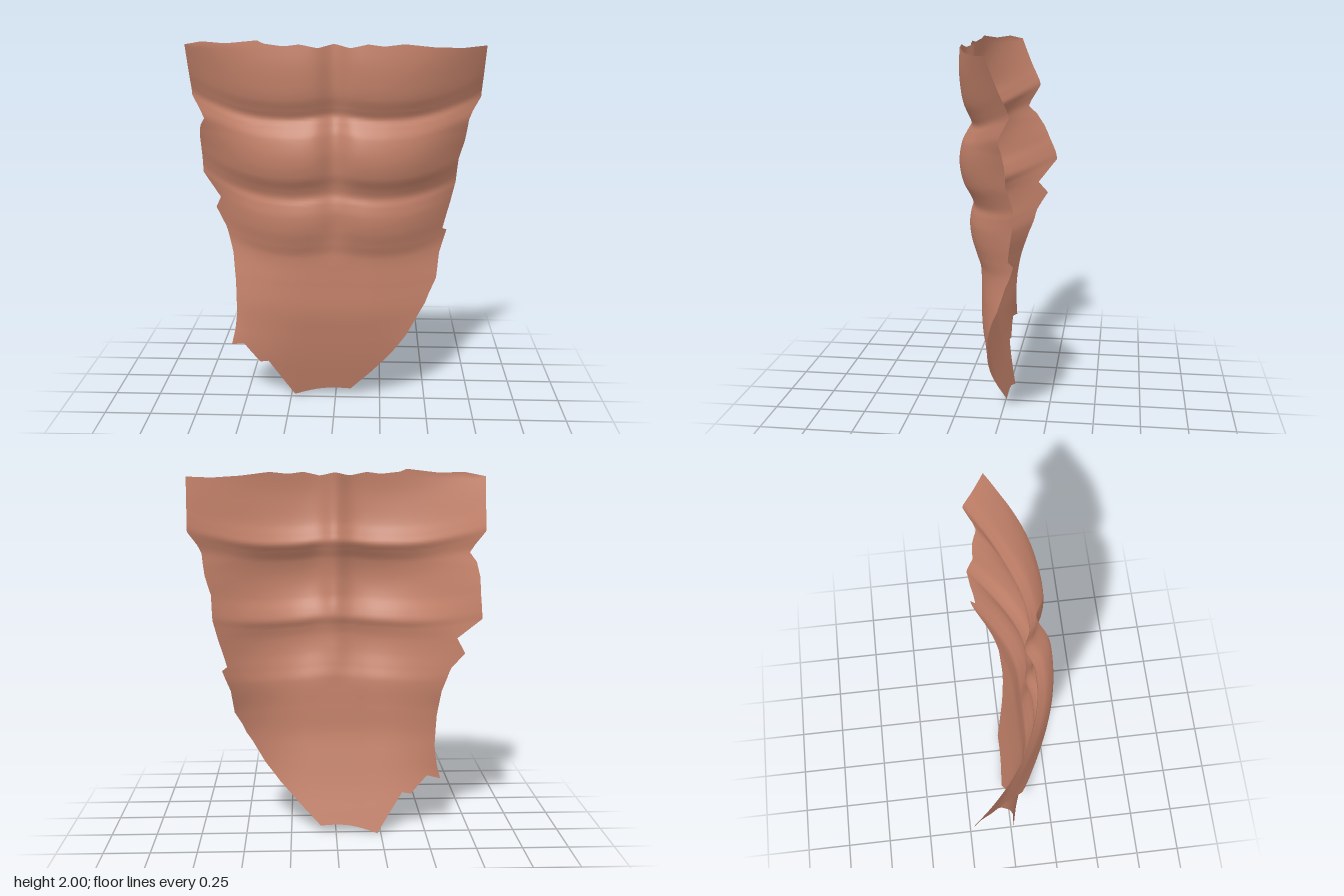
import * as THREE from 'three';

// Smooth curve through [position, value] pairs (ascending positions)
function curve(pts) {
  const slope = i => {
    const a = pts[Math.max(0, i - 1)], b = pts[Math.min(pts.length - 1, i + 1)];
    return (b[1] - a[1]) / (b[0] - a[0]);
  };
  return p => {
    p = THREE.MathUtils.clamp(p, pts[0][0], pts[pts.length - 1][0]);
    let i = 0;
    while (i < pts.length - 2 && p > pts[i + 1][0]) i++;
    const [x0, y0] = pts[i], [x1, y1] = pts[i + 1];
    const h = x1 - x0, t = (p - x0) / h, t2 = t * t, t3 = t2 * t;
    return (2 * t3 - 3 * t2 + 1) * y0 + (t3 - 2 * t2 + t) * h * slope(i)
      + (3 * t2 - 2 * t3) * y1 + (t3 - t2) * h * slope(i + 1);
  };
}

// Front profile of the muscle bulges, by height
const front = curve([[0, -0.028], [0.1, 0], [0.25, 0.04], [0.4, 0.072], [0.55, 0.098], [0.7, 0.103],
  [0.85, 0.108], [0.92, 0.13], [1.0, 0.155], [1.08, 0.165], [1.14, 0.157], [1.185, 0.145], [1.23, 0.16],
  [1.3, 0.197], [1.4, 0.215], [1.5, 0.2], [1.56, 0.168], [1.6, 0.148], [1.64, 0.163], [1.7, 0.189],
  [1.78, 0.203], [1.88, 0.208], [2, 0.198]]);

// The same profile with the bulges evened out, used towards the flanks
const even = curve([[0, -0.028], [0.1, 0], [0.25, 0.04], [0.4, 0.072], [0.55, 0.098], [0.7, 0.105],
  [0.85, 0.118], [1.0, 0.14], [1.2, 0.165], [1.4, 0.183], [1.6, 0.182], [1.8, 0.192], [2, 0.198]]);

// How strongly the sides wrap backwards, by height
const wrap = curve([[0, 0], [0.31, 0.1], [0.5, 0.2], [0.7, 0.28], [0.84, 0.36], [0.97, 0.415], [1.12, 0.425],
  [1.25, 0.39], [1.4, 0.365], [1.5, 0.325], [1.58, 0.285], [1.68, 0.27], [1.8, 0.24], [1.97, 0.185]]);

// Ragged top edge, by x
const topEdge = [[-0.78, 1.965], [-0.68, 1.985], [-0.55, 1.98], [-0.375, 2], [-0.36, 1.985], [-0.25, 1.972],
  [-0.17, 1.982], [-0.08, 1.963], [0, 1.982], [0.08, 1.963], [0.17, 1.983], [0.25, 1.972], [0.35, 1.983],
  [0.5, 1.965], [0.65, 1.957], [0.78, 1.965]];
function topHeight(x) {
  let i = 0;
  while (i < topEdge.length - 2 && x > topEdge[i + 1][0]) i++;
  const [a, b] = [topEdge[i], topEdge[i + 1]];
  return a[1] + (b[1] - a[1]) * (x - a[0]) / (b[0] - a[0]);
}

// Depth of the torso surface
function depth(x, y) {
  const ax = Math.abs(x), step = THREE.MathUtils.smoothstep;
  // creases dip below each muscle and rise towards the midline and flanks
  const lift = (0.5 * Math.max(0, ax - 0.3) ** 2 + 0.02 * (1 - step(ax, 0, 0.25))) * step(y, 0.6, 0.95);
  const flat = 0.6 * step(ax, 0.38, 0.75) + 0.25 * (1 - step(ax, 0, 0.16));
  const profile = THREE.MathUtils.lerp(front(y - lift), even(y), flat);
  const side = Math.max(0, (ax - 0.15) / 0.6) ** 1.95;
  // midline groove
  const groove = (0.02 * step(y, 0.8, 1.05) + 0.026 * step(y, 1.1, 1.4)) * Math.exp(-((x / 0.068) ** 2));
  return profile - wrap(y) * side - groove;
}

// Outline rows from top to bottom: left end x, y then right end x, y
const rows = [
  [-0.78, 1.965, 0.775, 1.965], [-0.77, 1.69, 0.765, 1.69], [-0.725, 1.62, 0.72, 1.62],
  [-0.70, 1.575, 0.70, 1.575], [-0.73, 1.53, 0.695, 1.53], [-0.742, 1.46, 0.685, 1.46],
  [-0.742, 1.36, 0.655, 1.36], [-0.745, 1.25, 0.647, 1.23], [-0.635, 1.13, 0.62, 1.12],
  [-0.67, 1.06, 0.60, 1.05], [-0.61, 0.97, 0.58, 0.975], [-0.60, 0.945, 0.605, 0.96],
  [-0.567, 0.83, 0.565, 0.84], [-0.55, 0.68, 0.55, 0.71], [-0.545, 0.5, 0.51, 0.63],
  [-0.558, 0.4, 0.49, 0.58], [-0.58, 0.31, 0.46, 0.53], [-0.51, 0.325, 0.39, 0.40],
  [-0.42, 0.215, 0.35, 0.345], [-0.38, 0.235, 0.31, 0.29], [-0.30, 0.11, 0.20, 0.165],
  [-0.23, 0, 0.085, 0.045]];

function torsoGeometry() {
  const cols = 90, lines = [];
  rows.slice(0, -1).forEach((row, i) => {
    const next = rows[i + 1];
    const n = Math.max(1, Math.ceil(Math.abs(row[1] - next[1]) / 0.016));
    for (let k = 0; k < n; k++) lines.push(row.map((v, c) => v + (next[c] - v) * k / n));
  });
  lines.push(rows[rows.length - 1]);

  const pos = [], nor = [], idx = [], e = 0.004;
  lines.forEach(([xl, yl, xr, yr], r) => {
    for (let c = 0; c <= cols; c++) {
      const u = c / cols, x = xl + (xr - xl) * u;
      let y = yl + (yr - yl) * u;
      if (r === 0) y = topHeight(x);
      // arched lower edge
      y += 0.022 * Math.sin(Math.PI * u) * THREE.MathUtils.smoothstep(-yl, -0.12, 0);
      pos.push(x, y, depth(x, y));
      const n = new THREE.Vector3((depth(x - e, y) - depth(x + e, y)) / (2 * e),
        (depth(x, y - e) - depth(x, y + e)) / (2 * e), 1).normalize();
      nor.push(n.x, n.y, n.z);
      if (r && c) {
        const d = r * (cols + 1) + c, b = d - cols - 1;
        idx.push(b - 1, d - 1, d, b - 1, d, b);
      }
    }
  });
  const geo = new THREE.BufferGeometry();
  geo.setAttribute('position', new THREE.Float32BufferAttribute(pos, 3));
  geo.setAttribute('normal', new THREE.Float32BufferAttribute(nor, 3));
  geo.setIndex(idx);
  return geo;
}

export function createModel() {
  const skin = new THREE.MeshStandardMaterial({ color: 0xc4826a, side: THREE.DoubleSide });
  skin.name = 'skin';
  const torso = new THREE.Mesh(torsoGeometry(), skin);
  torso.name = 'abdomen';
  const group = new THREE.Group();
  group.name = 'abdominalShell';
  group.add(torso);
  return group;
}
